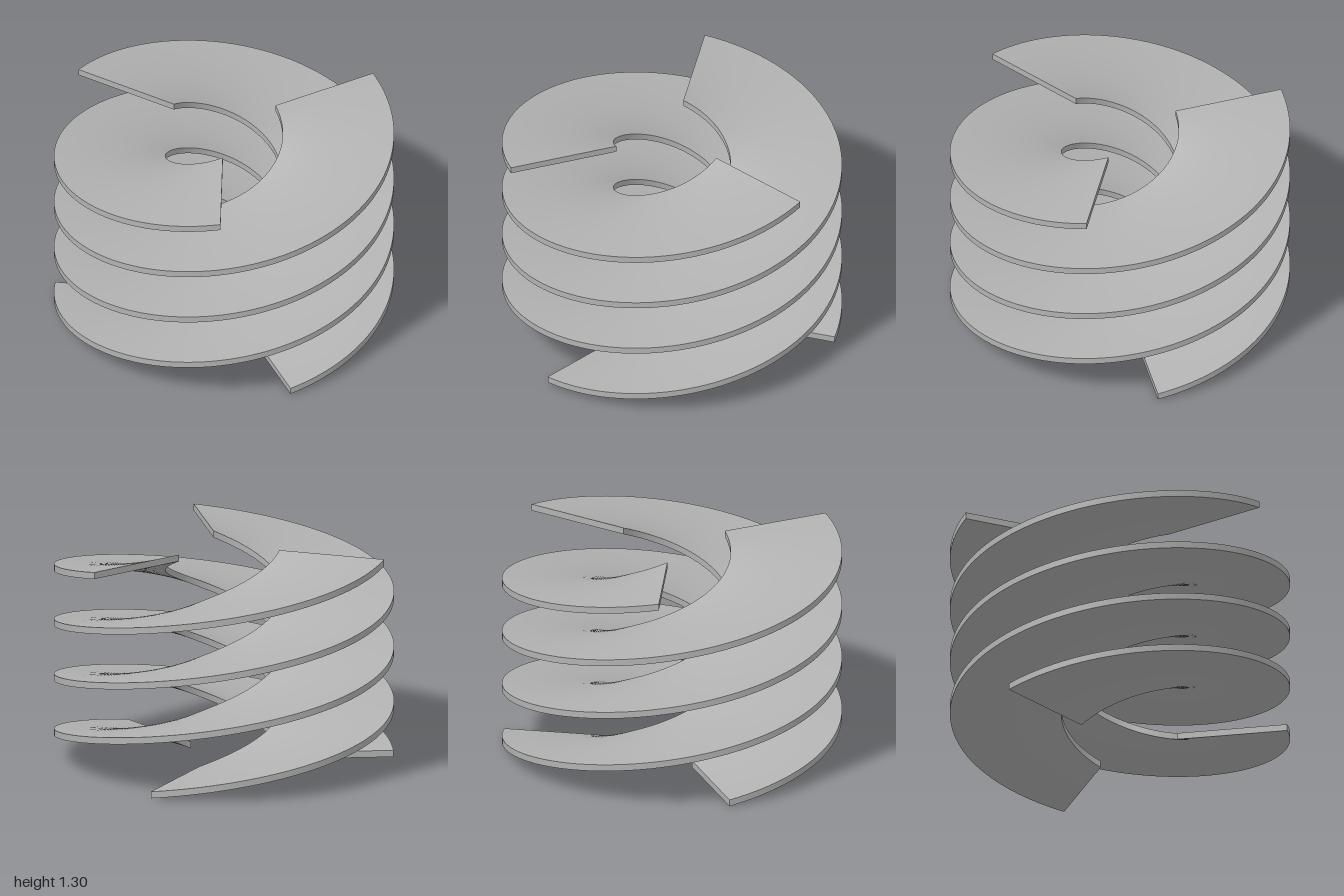
import * as THREE from 'three';

const INNER = 0.345, OUTER = 1, THICK = 0.04, RISE = 1.265;
const SWEEP = THREE.MathUtils.degToRad(455.8);
const START = THREE.MathUtils.degToRad(-30);

// Bends a long flat bar into a helical blade; each box side keeps its own smooth normals
function bladeGeometry(start) {
  const geo = new THREE.BoxGeometry(1, 1, 1, 8, 1, 180);
  const p = geo.attributes.position;
  for (let i = 0; i < p.count; i++) {
    const radius = INNER + (p.getX(i) + 0.5) * (OUTER - INNER);
    const t = 0.5 - p.getZ(i);
    const a = start + t * SWEEP;
    const y = t * RISE + (p.getY(i) + 0.5) * THICK;
    p.setXYZ(i, radius * Math.sin(a), y, radius * Math.cos(a));
  }
  geo.computeVertexNormals();
  return geo;
}

export function createModel() {
  const group = new THREE.Group();
  group.name = 'tripleHelix';
  const grey = new THREE.MeshStandardMaterial({ color: 0xb2b2b2 });
  grey.name = 'grey';

  // Three equal blades, a third of a turn apart
  for (let i = 0; i < 3; i++) {
    const blade = new THREE.Mesh(bladeGeometry(START + (i * Math.PI * 2) / 3), grey);
    blade.name = `helicalBlade${i + 1}`;
    group.add(blade);
  }
  return group;
}
